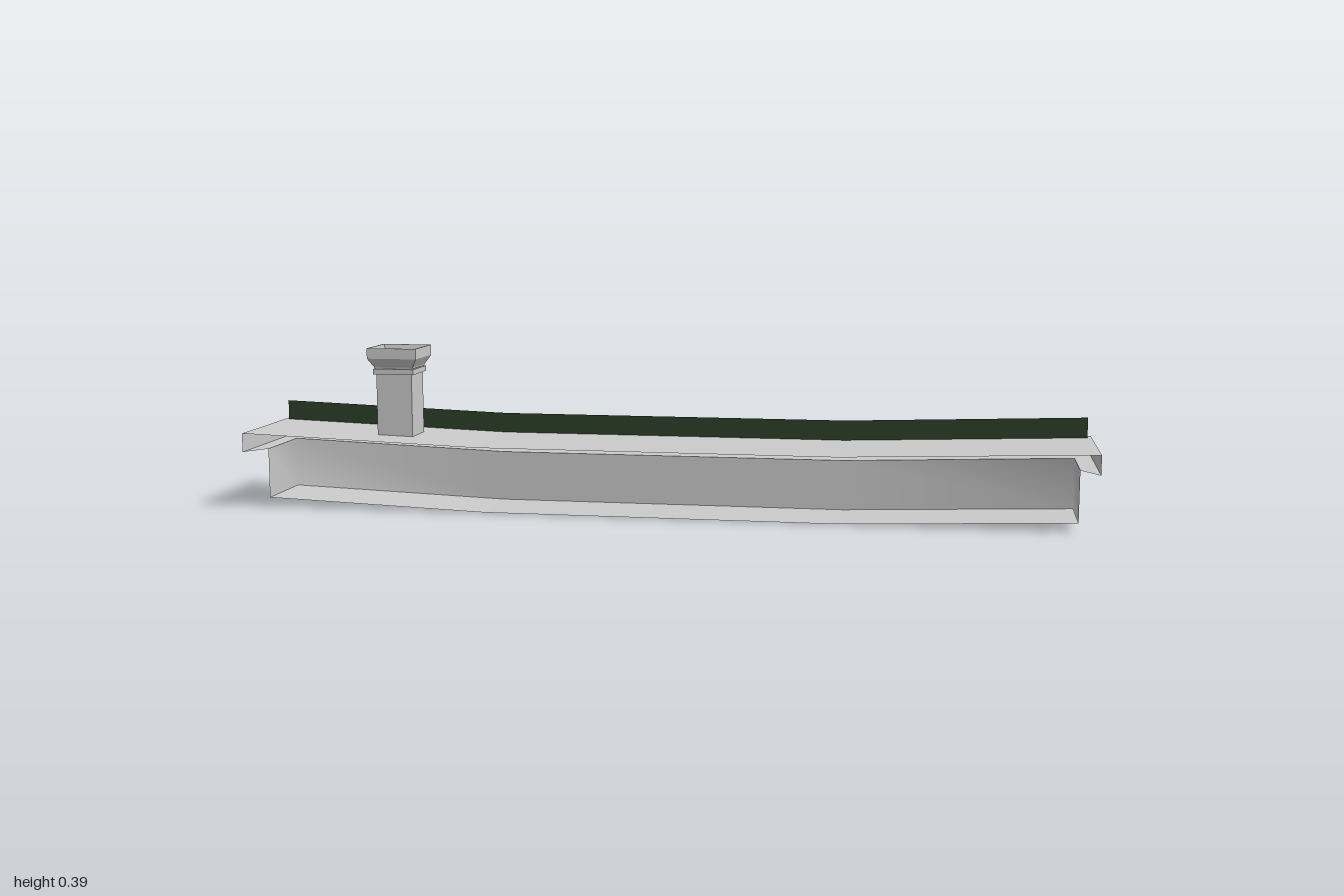
import * as THREE from 'three';

const grey = new THREE.MeshStandardMaterial({ color: 0xcccccc, side: THREE.DoubleSide });
const greyFlat = new THREE.MeshStandardMaterial({ color: 0xcccccc, side: THREE.DoubleSide, flatShading: true });
const green = new THREE.MeshStandardMaterial({ color: 0x2c4028, side: THREE.DoubleSide, flatShading: true });

const FLAT = 0.42; // half length of the level middle span
const RISE = 0.02; // how far both ends sweep up

// Skin between two rows of [x, y, z] points; the ends are lifted by RISE
function strip(name, rowA, rowB, material) {
  const n = rowA.length;
  const pos = [...rowA, ...rowB].flatMap(([x, y, z]) => [x, y + (Math.abs(x) > FLAT ? RISE : 0), z]);
  const index = [];
  for (let i = 0; i < n - 1; i++) index.push(i, n + i, i + 1, i + 1, n + i, n + i + 1);
  const geo = new THREE.BufferGeometry();
  geo.setAttribute('position', new THREE.Float32BufferAttribute(pos, 3));
  geo.setIndex(index);
  geo.computeVertexNormals();
  const mesh = new THREE.Mesh(geo, material);
  mesh.name = name;
  return mesh;
}

// Lengthwise row from -x to +x
const row = (hx, y, z) => [-hx, -FLAT, FLAT, hx].map((x) => [x, y, z]);

// Three-sided outline, open at the front
const outline = (hx, hz, y) => [[hx, y, hz], ...row(hx, y, -hz).reverse(), [-hx, y, hz]];

export function createModel() {
  const model = new THREE.Group();
  model.name = 'balcony';

  // Slab: top, rim and mitred underside
  const top = 0.165, under = 0.12;
  model.add(
    strip('slabTop', row(1, top, -0.149), row(1, top, 0.149), greyFlat),
    strip('slabRim', outline(1, 0.149, top), outline(1, 0.149, under), greyFlat),
    strip('slabUnderside', outline(1, 0.149, under), outline(0.96, 0.089, under), greyFlat)
  );

  // Trough below the slab: back and end walls, floor
  model.add(
    strip('troughWall', outline(0.96, 0.089, under), outline(0.96, 0.089, 0), grey),
    strip('troughFloor', row(0.96, 0, 0.089), row(0.96, 0, -0.089), greyFlat)
  );

  // Thin railing panel along the back
  model.add(strip('railing', row(0.99, top + 0.048, -0.117), row(0.99, top, -0.117), green));

  // Square chimney with collar and open flared cap: [half width, height]
  const profile = [
    [0.044, 0.165], [0.044, 0.322], [0.05, 0.322], [0.05, 0.335], [0.045, 0.335],
    [0.061, 0.361], [0.061, 0.386], [0.058, 0.386], [0.047, 0.336], [0, 0.336],
  ].map(([w, y]) => new THREE.Vector2(w * Math.SQRT2, y));
  const chimney = new THREE.Mesh(new THREE.LatheGeometry(profile, 4, Math.PI / 4), greyFlat);
  chimney.name = 'chimney';
  chimney.position.x = -0.653;
  model.add(chimney);

  return model;
}
